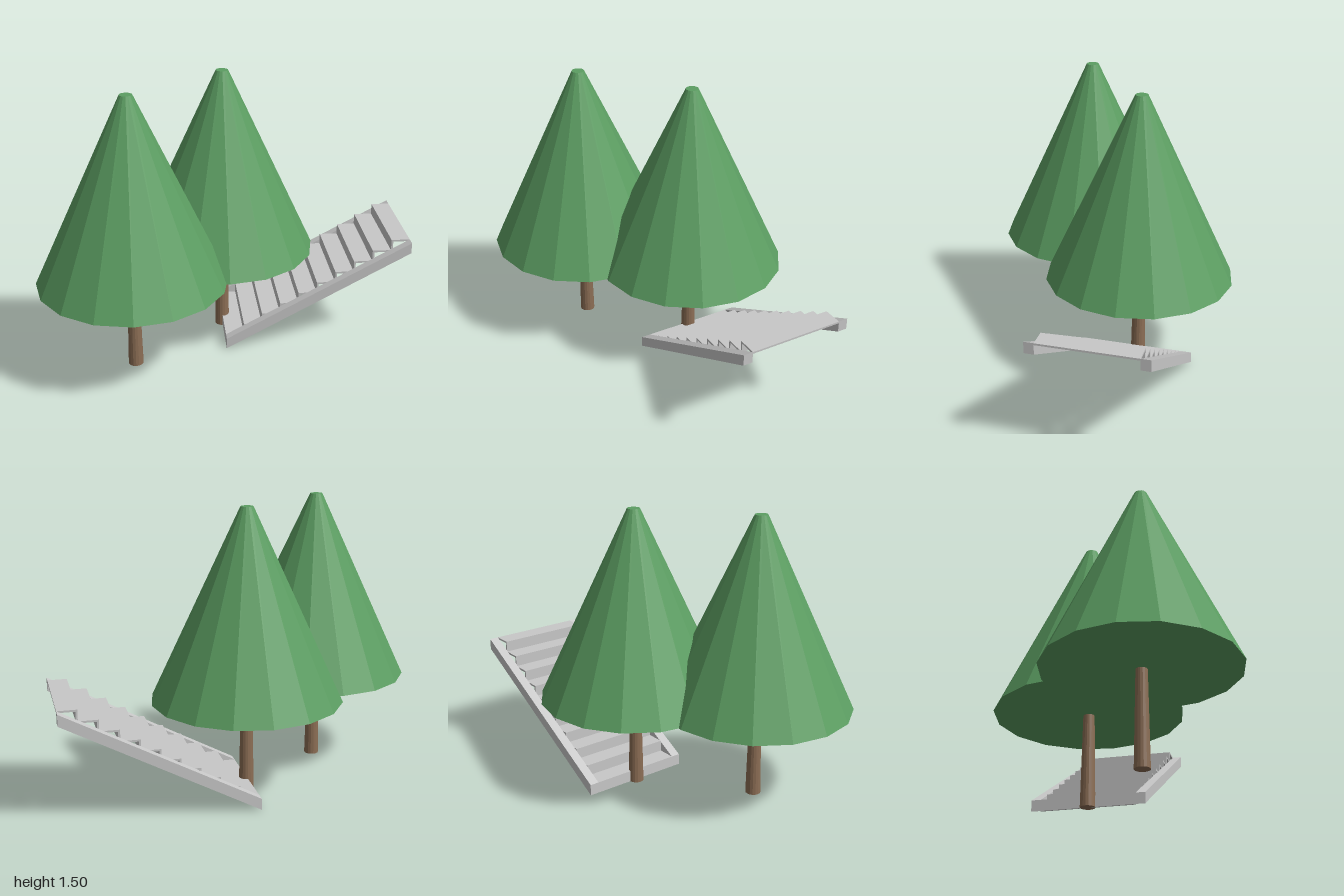
import * as THREE from 'three';

const mat = (name, color) => {
  const m = new THREE.MeshStandardMaterial({ color });
  m.name = name;
  return m;
};

export function createModel() {
  const leaf = mat('leaf green', 0x5c9e62);
  const bark = mat('bark brown', 0x8b6d54);
  const concrete = mat('light grey', 0xc8c8c8);

  const model = new THREE.Group();
  model.name = 'treesAndStairs';

  const add = (parent, name, geometry, material, x, y, z) => {
    const mesh = new THREE.Mesh(geometry, material);
    mesh.name = name;
    mesh.position.set(x, y, z);
    parent.add(mesh);
  };

  // Faceted cone: un-indexed so every side gets its own flat normal
  const taper = (top, bottom, height) => {
    const g = new THREE.CylinderGeometry(top, bottom, height, 16).toNonIndexed();
    g.computeVertexNormals();
    return g;
  };

  // Two conifers
  const trunkGeometry = taper(0.03, 0.04, 0.5);
  const crownGeometry = taper(0.033, 0.5, 1);
  [[-0.5, 0.2], [0, -0.2]].forEach(([x, z], i) => {
    const tree = new THREE.Group();
    tree.name = i ? 'backTree' : 'frontTree';
    tree.position.set(x, 0, z);
    add(tree, 'trunk', trunkGeometry, bark, 0, 0.25, 0);
    add(tree, 'crown', crownGeometry, leaf, 0, 1, 0);
    model.add(tree);
  });

  // Staircase rising towards +x
  const stairs = new THREE.Group();
  stairs.name = 'stairs';
  stairs.position.z = -0.2;
  model.add(stairs);

  const steps = 10, run = 0.1, rise = 0.06, thick = 0.01, width = 0.5;
  const treadGeometry = new THREE.BoxGeometry(run, thick, width);
  const riserGeometry = new THREE.BoxGeometry(thick, rise - thick, width);
  for (let k = 0; k < steps; k++) {
    add(stairs, 'tread', treadGeometry, concrete, (k + 0.5) * run, (k + 1) * rise - thick / 2, 0);
    add(stairs, 'riser', riserGeometry, concrete, k * run + thick / 2, k * rise + (rise - thick) / 2, 0);
  }

  // Sloping side beams
  const side = new THREE.Shape([[0, 0], [1, 0.54], [1, 0.6], [0, 0.06]].map(p => new THREE.Vector2(...p)));
  const beamGeometry = new THREE.ExtrudeGeometry(side, { depth: 0.05, bevelEnabled: false });
  add(stairs, 'frontBeam', beamGeometry, concrete, 0, 0, 0.25);
  add(stairs, 'backBeam', beamGeometry, concrete, 0, 0, -0.3);

  return model;
}
